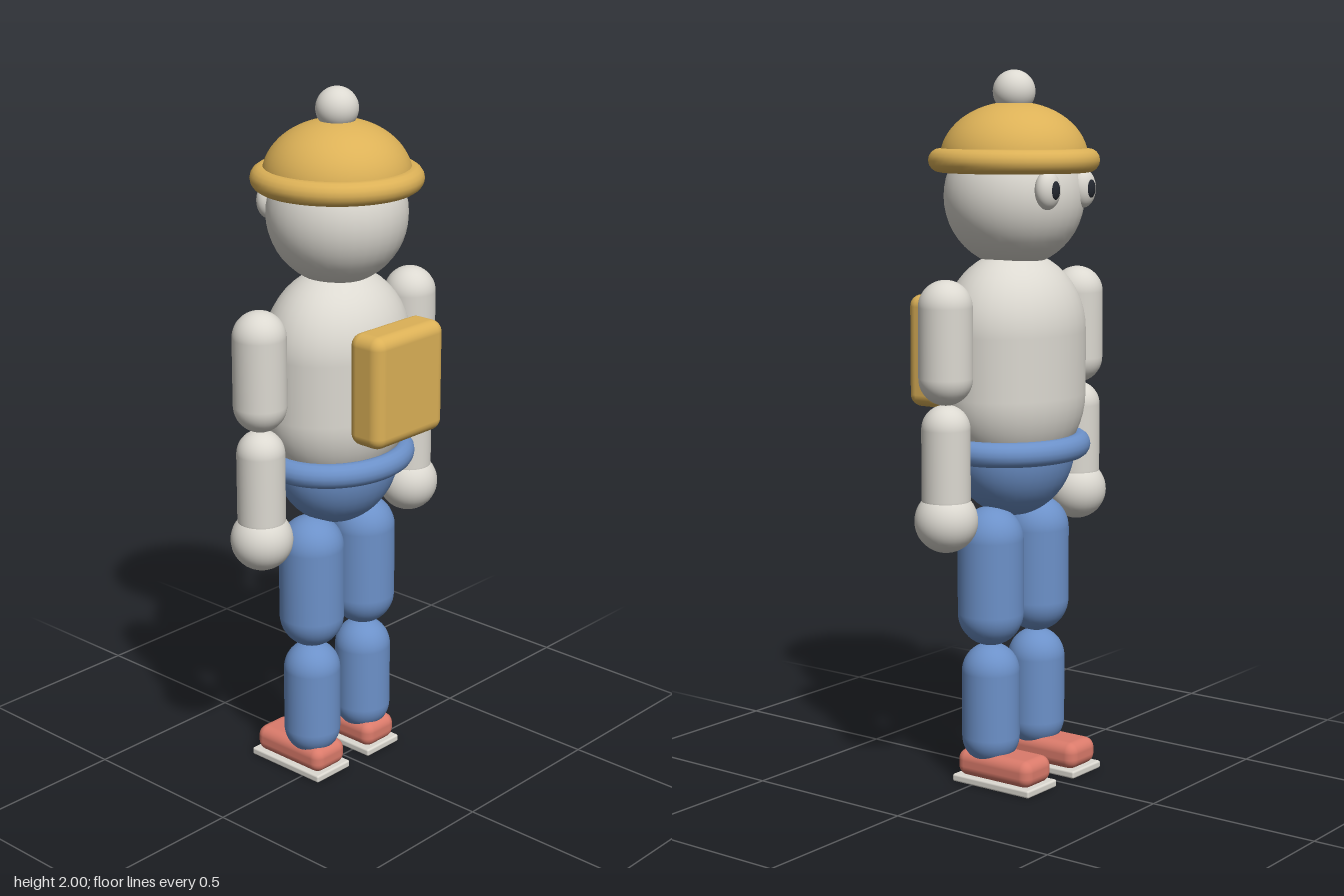
import * as THREE from 'three';
import { RoundedBoxGeometry } from 'three/addons/geometries/RoundedBoxGeometry.js';

const mat = (name, color) => {
  const m = new THREE.MeshStandardMaterial({ color });
  m.name = name;
  return m;
};

export function createModel() {
  const model = new THREE.Group();
  model.name = 'figure';
  const cream = mat('cream', 0xdcd9d1);
  const yellow = mat('yellow', 0xdcb157);
  const blue = mat('blue', 0x6c91c9);
  const coral = mat('coral', 0xdb7b6b);
  const dark = mat('dark', 0x23272f);
  const Z = -0.02; // body axis

  const add = (name, geometry, material, x, y, z = Z) => {
    const mesh = new THREE.Mesh(geometry, material);
    mesh.name = name;
    mesh.position.set(x, y, z);
    model.add(mesh);
    return mesh;
  };
  const ball = (r) => new THREE.SphereGeometry(r, 32, 24);
  const box = (w, h, d, r) => new RoundedBoxGeometry(w, h, d, 4, r);
  const ring = (R, r) => new THREE.TorusGeometry(R, r, 16, 48).rotateX(Math.PI / 2);
  // Capsule limb given by its lowest and highest points
  const capsule = (r, bottom, top) =>
    new THREE.CapsuleGeometry(r, top - bottom - 2 * r, 12, 32).translate(0, (top + bottom) / 2, 0);

  // Torso, pelvis and belt, flattened front to back
  add('torso', capsule(0.228, 0.875, 1.505), cream, 0, 0).scale.z = 0.825;
  add('pelvis', ball(0.195), blue, 0, 0.952).scale.z = 0.825;
  add('belt', ring(0.203, 0.035), blue, 0, 0.957).scale.z = 0.857;

  // Head and hat
  add('head', ball(0.196), cream, 0, 1.654);
  const dome = new THREE.SphereGeometry(0.206, 48, 16, 0, Math.PI * 2, 0, Math.PI / 2);
  const domeMesh = add('hatDome', dome, yellow, 0, 1.755);
  domeMesh.scale.y = 0.77;
  yellow.side = THREE.DoubleSide;
  add('hatBrim', ring(0.205, 0.033), yellow, 0, 1.753);
  add('hatPompom', ball(0.059), cream, 0, 1.941);

  // Backpack
  add('backpack', box(0.28, 0.318, 0.116, 0.034), yellow, 0, 1.217, 0.2);

  // Mirrored parts
  for (const [side, s] of [['left', 1], ['right', -1]]) {
    add(side + 'Eye', ball(1), cream, s * 0.084, 1.677, -0.195).scale.set(0.042, 0.053, 0.031);
    add(side + 'Pupil', ball(1), dark, s * 0.084, 1.677, -0.216).scale.set(0.021, 0.028, 0.014);

    add(side + 'UpperArm', capsule(0.074, 1.103, 1.442), cream, s * 0.308, 0);
    add(side + 'Forearm', capsule(0.067, 0.78, 1.105), cream, s * 0.308, 0);
    add(side + 'Hand', ball(0.087), cream, s * 0.308, 0.786);

    add(side + 'Thigh', capsule(0.093, 0.4, 0.796), blue, s * 0.109, 0);
    add(side + 'Shin', capsule(0.082, 0.055, 0.405), blue, s * 0.109, 0);
    add(side + 'Shoe', box(0.126, 0.077, 0.255, 0.03), coral, s * 0.109, 0.0565, -0.067);
    add(side + 'Sole', box(0.138, 0.022, 0.268, 0.006), cream, s * 0.109, 0.011, -0.068);
  }
  return model;
}
